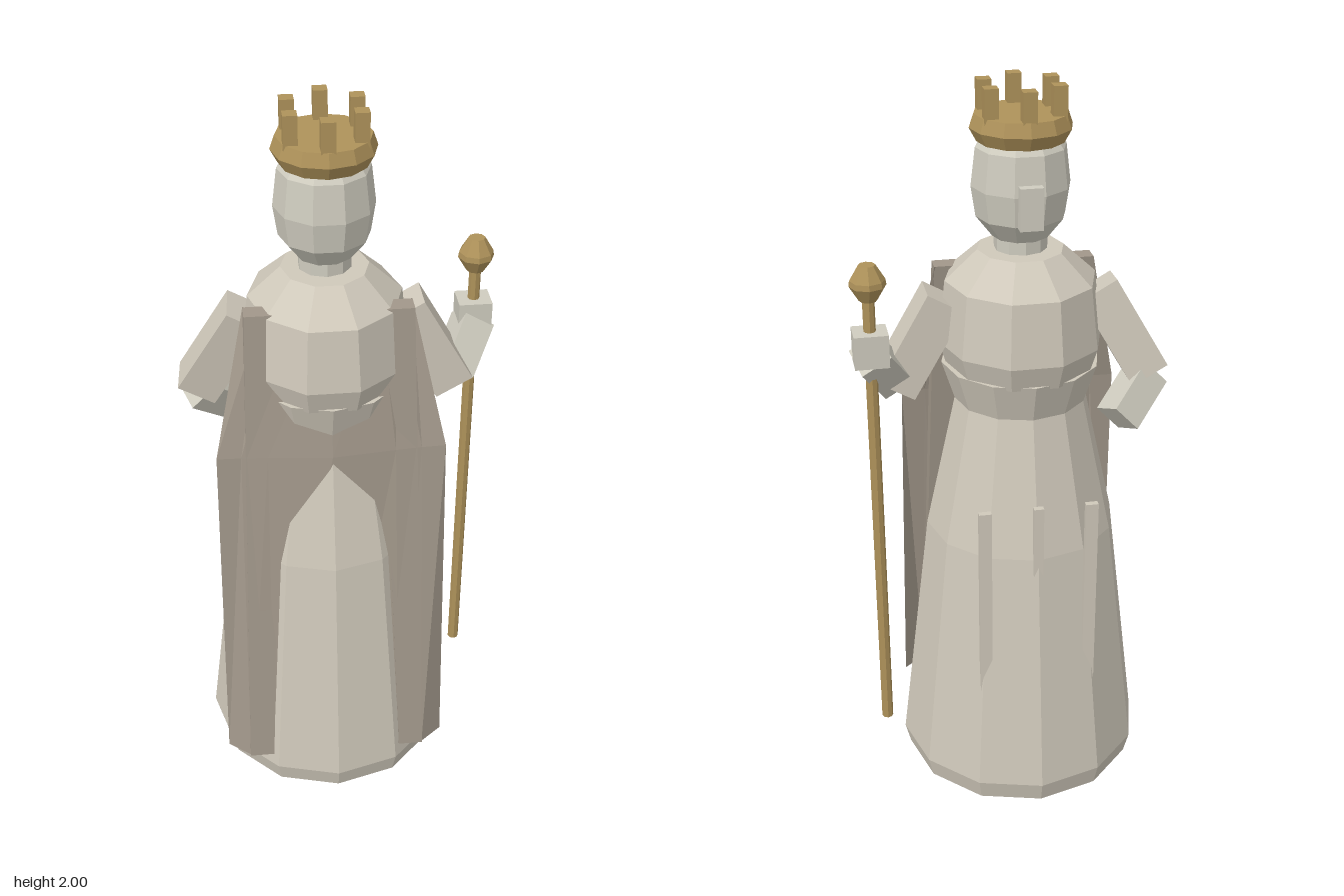
import * as THREE from 'three';

const mat = (name, color, side = THREE.FrontSide) => {
  const m = new THREE.MeshStandardMaterial({ color, flatShading: true, side });
  m.name = name;
  return m;
};

export function createModel() {
  const stone = mat('pale stone', 0xcfc8ba);
  const skin = mat('light stone', 0xcfccbf);
  const cloth = mat('cape grey', 0xa1978a, THREE.DoubleSide);
  const gold = mat('old gold', 0xae925a);

  const model = new THREE.Group();
  const CX = -0.04; // the figure's own axis; the sceptre widens the +x side

  const add = (name, geo, material, x = CX, y = 0, z = 0) => {
    const m = new THREE.Mesh(geo, material);
    m.name = name;
    m.position.set(x, y, z);
    model.add(m);
    return m;
  };
  // Faceted turned part, profile as [radius, height] from bottom to top
  const turned = (name, pts, sides, material, x, z, start = 0) =>
    add(name, new THREE.LatheGeometry(pts.map(p => new THREE.Vector2(...p)), sides, start), material, x, 0, z);
  const box = (name, w, h, d, material, x, y, z) =>
    add(name, new THREE.BoxGeometry(w, h, d), material, x, y, z);
  // Box running from point a to point b
  const limb = (name, a, b, w, d, material) => {
    const A = new THREE.Vector3(...a), B = new THREE.Vector3(...b);
    const dir = B.clone().sub(A);
    const len = dir.length();
    dir.normalize();
    const side = new THREE.Vector3().crossVectors(dir, new THREE.Vector3(0, 0, 1)).normalize();
    const depth = new THREE.Vector3().crossVectors(side, dir);
    const mid = A.add(B).multiplyScalar(0.5);
    const m = box(name, w, len, d, material, mid.x, mid.y, mid.z);
    m.quaternion.setFromRotationMatrix(new THREE.Matrix4().makeBasis(side, dir, depth));
    return m;
  };

  // Gown
  turned('skirt', [[0, 0], [0.335, 0], [0.35, 0.06], [0.265, 0.77], [0.18, 1.155], [0, 1.155]], 12, stone);
  turned('waist', [[0, 1.15], [0.18, 1.15], [0.215, 1.26], [0, 1.26]], 12, stone);
  turned('bodice', [[0, 1.25], [0.2, 1.25], [0.222, 1.32], [0.202, 1.49], [0.115, 1.57], [0, 1.57]],
    10, stone, CX, 0, Math.PI / 10).scale.z = 1.06;

  // Hanging strips on the skirt's far side
  for (const [x, w] of [[-0.145, 0.034], [0, 0.027], [0.145, 0.034]])
    box('skirtStrip', w, 0.62, 0.017, stone, CX + x, 0.62, -0.259);

  // Neck, head and nose
  turned('neck', [[0, 1.54], [0.07, 1.54], [0.07, 1.63], [0, 1.63]], 10, skin);
  turned('head', [[0, 1.6], [0.075, 1.605], [0.118, 1.66], [0.13, 1.74], [0.118, 1.84], [0.1, 1.865], [0, 1.865]],
    10, skin, CX, 0, Math.PI / 10);
  box('nose', 0.06, 0.11, 0.05, skin, CX, 1.715, -0.12);

  // Crown with six points
  turned('crownBand', [[0, 1.855], [0.114, 1.855], [0.133, 1.89], [0.121, 1.925], [0, 1.925]], 12, gold);
  for (let i = 0; i < 6; i++) {
    const a = i * Math.PI / 3;
    box('crownPoint', 0.036, 0.09, 0.036, gold, CX + 0.1 * Math.sin(a), 1.955, 0.1 * Math.cos(a));
  }

  // Arms
  limb('leftSleeve', [0.166, 1.445, 0], [0.303, 1.206, 0], 0.11, 0.108, stone);
  limb('leftForearm', [0.305, 1.225, 0], [0.372, 1.335, -0.085], 0.09, 0.09, skin);
  box('leftHand', 0.09, 0.09, 0.08, skin, 0.37, 1.355, -0.085);
  limb('rightSleeve', [-0.246, 1.445, 0], [-0.383, 1.206, -0.043], 0.11, 0.108, stone);
  limb('rightForearm', [-0.385, 1.2, -0.04], [-0.285, 1.105, -0.12], 0.09, 0.09, skin);

  // Sceptre
  turned('sceptreRod', [[0, 0.175], [0.016, 0.175], [0.016, 1.49], [0, 1.49]], 8, gold, 0.37, -0.085);
  turned('sceptreKnob', [[0, 1.485], [0.024, 1.485], [0.048, 1.525], [0.046, 1.54], [0.022, 1.58], [0, 1.58]],
    8, gold, 0.37, -0.085);

  // Cape sheet: each row is y, then [x, z] from the outer edge to the middle
  const rows = [
    [1.5, [0.217, 0.075], [0.17, 0.1], [0.127, 0.122], [0, 0.13]],
    [1.1, [0.305, 0.17], [0.24, 0.172], [0.17, 0.178], [0, 0.195]],
    [0.1, [0.317, 0.235], [0.255, 0.284], [0.185, 0.284], [0, 0.27]],
  ];
  const pos = [], idx = [];
  rows.forEach(([y, ...half], r) => {
    const full = [...half.map(([x, z]) => [-x, z]), ...half.slice(0, -1).reverse()];
    full.forEach(([x, z], c) => {
      pos.push(x, y, z);
      if (r < rows.length - 1 && c < full.length - 1) {
        const a = r * full.length + c, b = a + full.length;
        idx.push(a, b, a + 1, a + 1, b, b + 1);
      }
    });
  });
  const sheet = new THREE.BufferGeometry();
  sheet.setAttribute('position', new THREE.Float32BufferAttribute(pos, 3));
  sheet.setIndex(idx);
  sheet.computeVertexNormals();
  add('cape', sheet, cloth);

  // Cape bands down both edges, leaning outward with the cape
  for (const s of [-1, 1]) {
    const g = new THREE.BoxGeometry(1, 1.4, 0.05);
    const p = g.attributes.position;
    for (let i = 0; i < p.count; i++) {
      const t = p.getY(i) > 0 ? 0 : 1;
      const mid = 0.172 + 0.049 * t, half = 0.045 - 0.01 * t;
      p.setXYZ(i, s * mid + 2 * p.getX(i) * half, p.getY(i), p.getZ(i) + 0.102 + 0.162 * t);
    }
    add('capeBand', g, cloth, CX, 0.8, 0);
  }

  return model;
}
